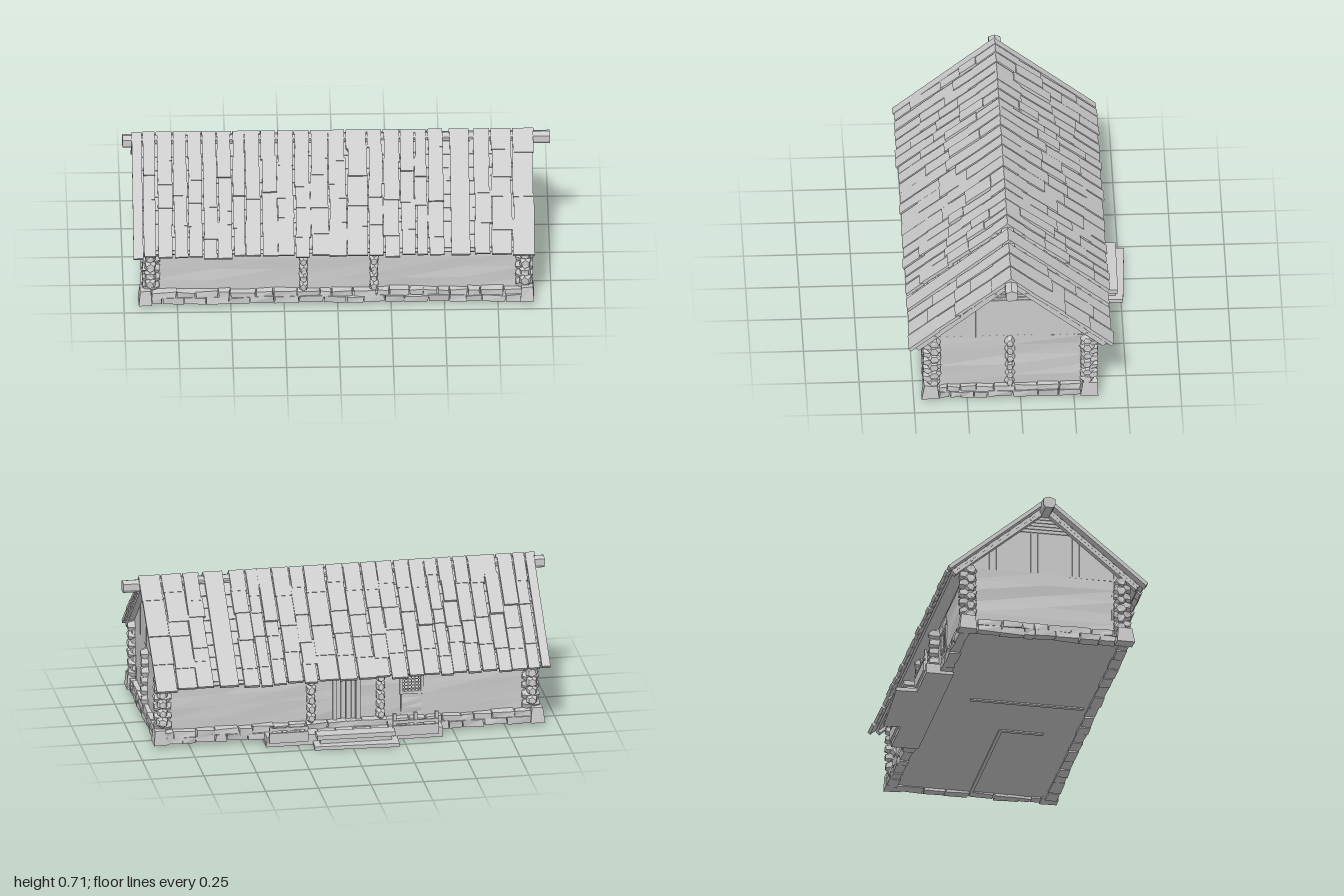
import * as THREE from 'three';

const mat = new THREE.MeshStandardMaterial({ color: 0xcccccc, flatShading: true });
const Z0 = 0.045;            // ridge line
const APEX = 0.715, RUN = 0.483, DROP = 0.403;
const SLOPE = Math.atan2(DROP, RUN), LEN = Math.hypot(RUN, DROP);
const FRONT = 0.408, BACK = -0.317, SIDE = 0.88;   // outer wall faces

let seed = 7;
const rnd = (a = 0, b = 1) => {
  seed = (seed * 16807) % 2147483647;
  return a + (b - a) * (seed / 2147483647);
};
const outline = pts => new THREE.Shape(pts.map(q => new THREE.Vector2(...q)));
const extrude = (pts, depth) => new THREE.ExtrudeGeometry(outline(pts), { depth, bevelEnabled: false });

function add(parent, name, geo, x = 0, y = 0, z = 0) {
  const m = new THREE.Mesh(geo, mat);
  m.name = name;
  m.position.set(x, y, z);
  parent.add(m);
  return m;
}

// box from its min and max corners
const block = (p, name, x0, x1, y0, y1, z0, z1) =>
  add(p, name, new THREE.BoxGeometry(x1 - x0, y1 - y0, z1 - z0), (x0 + x1) / 2, (y0 + y1) / 2, (z0 + z1) / 2);

// move every corner of a geometry by a position-keyed offset, so shared corners stay closed
function roughen(geo, amp, key = 0) {
  const p = geo.attributes.position;
  const h = (x, y, z, k) => {
    const s = Math.sin(x * 91.7 + y * 157.3 + z * 211.9 + k * 37.1 + key) * 4375.85;
    return (s - Math.floor(s) - 0.5) * 2 * amp;
  };
  for (let i = 0; i < p.count; i++) {
    const [x, y, z] = [p.getX(i), p.getY(i), p.getZ(i)].map(v => Math.round(v * 1e4) / 1e4 + 0);
    p.setXYZ(i, x + h(x, y, z, 1), y + h(x, y, z, 2), z + h(x, y, z, 3));
  }
  geo.computeVertexNormals();
  return geo;
}

// hewn wall with uneven faces
function wall(p, name, x0, x1, y0, y1, z0, z1) {
  const nx = Math.max(1, Math.round((x1 - x0) / 0.3)), nz = Math.max(1, Math.round((z1 - z0) / 0.3));
  const geo = new THREE.BoxGeometry(x1 - x0, y1 - y0, z1 - z0, nx, 5, nz);
  return add(p, name, roughen(geo, 0.004, x0 + z0), (x0 + x1) / 2, (y0 + y1) / 2, (z0 + z1) / 2);
}

// stacked log ends, pointing along x or z
function logColumn(p, x, z, axis, offset, count, width = 1) {
  const prof = [[0, -0.04], [0.018, -0.04], [0.028, -0.02], [0.028, 0.02], [0.018, 0.04], [0, 0.04]]
    .map(q => new THREE.Vector2(...q));
  for (let i = 0; i < count; i++) {
    const m = add(p, 'logEnd', roughen(new THREE.LatheGeometry(prof, 6), 0.003, i), x, 0.1 + offset + i * 0.046, z);
    const k = rnd(0.9, 1.08);
    if (axis === 'x') { m.rotation.z = Math.PI / 2; m.scale.set(k, 1, k * width); }
    else { m.rotation.x = Math.PI / 2; m.scale.set(k * width, 1, k); }
  }
}

function buildBase(g) {
  block(g, 'floor', -0.87, 0.87, 0.024, 0.07, -0.315, 0.405);
  block(g, 'floorJoist', 0.17, 0.86, 0.018, 0.026, 0.037, 0.053);
  block(g, 'floorJoist', -0.15, -0.13, 0.018, 0.026, -0.16, 0.38);
  block(g, 'floorJoist', 0.16, 0.18, 0.018, 0.026, 0.037, 0.25);
  // two rows of stones along each side
  const stones = (a, b, place) => {
    for (const [y, h, d] of [[0.031, 0.032, 0.05], [0.06, 0.03, 0.043]]) {
      for (let t = a; t < b - 0.01;) {
        const w = Math.min(rnd(0.05, 0.12), b - t);
        place(t + w / 2, w - 0.004, y + rnd(-0.002, 0.003), h, d + rnd(-0.006, 0.006));
        t += w;
      }
    }
  };
  const stone = (w, h, d) => roughen(new THREE.BoxGeometry(w, h, d), 0.004, rnd(0, 9));
  for (const z of [0.425, -0.335]) stones(-0.87, 0.87, (t, w, y, h, d) => add(g, 'foundationStone', stone(w, h, d), t, y, z));
  for (const x of [-0.89, 0.885]) stones(-0.28, 0.38, (t, w, y, h, d) => add(g, 'foundationStone', stone(d, h, w), x, y, t));
  for (const x of [-0.9, 0.887]) for (const z of [0.422, -0.325]) {
    const geo = new THREE.CylinderGeometry(0.036, 0.047, 0.072, 4);
    geo.rotateY(Math.PI / 4);
    add(g, 'cornerStone', roughen(geo, 0.003, x + z), x, 0.052, z).scale.z = 1.25;
  }
}

function buildWalls(g) {
  const y0 = 0.065, y1 = 0.35, t = 0.04;
  wall(g, 'frontWall', -SIDE, SIDE, y0, y1, FRONT - t, FRONT);
  wall(g, 'sideWall', SIDE - t, SIDE, y0, y1, BACK, FRONT);
  wall(g, 'sideWall', -SIDE, t - SIDE, y0, y1, BACK, FRONT);
  for (const x of [-0.16, 0.17]) wall(g, 'partition', x - 0.015, x + 0.015, y0, y1, BACK + t, FRONT - t);
  // back wall around the door and the window
  const backPart = (a, b, c, d) => wall(g, 'backWall', a, b, c, d, BACK, BACK + t);
  backPart(-SIDE, -0.36, y0, y1);
  backPart(-0.36, -0.26, y0, 0.19);
  backPart(-0.36, -0.26, 0.285, y1);
  backPart(-0.26, -0.05, y0, y1);
  backPart(-0.05, 0.05, 0.285, y1);
  backPart(0.05, SIDE, y0, y1);
  // door
  for (let i = 0; i < 4; i++) block(g, 'doorBoard', -0.05 + i * 0.025, -0.027 + i * 0.025, 0.07, 0.288, BACK + 0.015, BACK + 0.028);
  for (const x of [-0.055, 0.055]) block(g, 'doorPost', x - 0.01, x + 0.01, 0.07, 0.3, BACK - 0.012, BACK + 0.02);
  block(g, 'doorLintel', -0.065, 0.065, 0.282, 0.302, BACK - 0.014, BACK + 0.02);
  // window lattice
  for (const y of [0.19, 0.285]) block(g, 'windowFrame', -0.367, -0.253, y - 0.007, y + 0.007, BACK - 0.008, BACK + 0.02);
  for (const x of [-0.36, -0.26]) block(g, 'windowFrame', x - 0.007, x + 0.007, 0.19, 0.285, BACK - 0.008, BACK + 0.02);
  for (let i = 1; i < 6; i++) {
    const x = -0.36 + i / 60, y = 0.19 + i * 0.0158;
    block(g, 'windowBar', x - 0.002, x + 0.002, 0.19, 0.285, BACK, BACK + 0.006);
    block(g, 'windowBar', -0.36, -0.26, y - 0.002, y + 0.002, BACK, BACK + 0.006);
  }
  // log ends at corners and partitions
  for (const s of [-1, 1]) {
    for (const z of [0.405, -0.312]) logColumn(g, s * 0.873, z, 'x', 0, 6, 1.1);
    for (const z of [0.415, -0.322]) logColumn(g, s * 0.877, z, 'z', 0.023, 5);
  }
  logColumn(g, 0.872, 0.05, 'x', -0.005, 6, 0.8);
  for (const x of [-0.16, 0.17]) for (const z of [0.415, -0.322]) logColumn(g, x, z, 'z', 0, 6, 0.8);
}

function buildGables(g) {
  const rise = v => APEX - 0.045 - (DROP / RUN) * Math.abs(v);
  for (const s of [-1, 1]) {
    // solid gable behind the boards
    const tri = [[-0.37, 0.34], [0.37, 0.34], [0.37, rise(0.37)], [0, rise(0)], [-0.37, rise(0.37)]];
    add(g, 'gable', extrude(tri, 0.02), s * (SIDE - 0.014) - 0.01, 0, Z0).rotation.y = Math.PI / 2;
    // upright boards cut to the slope
    for (let u = -0.363; u < 0.35; u += 0.033) {
      const a = u + 0.001, b = u + 0.032;
      const top = v => Math.min(0.555, rise(v));
      add(g, 'gableBoard', extrude([[a, 0.342], [b, 0.342], [b, top(b)], [a, top(a)]], 0.01), s * (SIDE - 0.004) + 0.005, 0, Z0)
        .rotation.y = -Math.PI / 2;
    }
    // level slats near the peak
    for (let i = 0; i < 5; i++) {
      const y = 0.566 + i * 0.017, w = (0.672 - y) * 1.2, x = s * (SIDE - 0.004);
      block(g, 'gableSlat', x - 0.005, x + 0.005, y - 0.006, y + 0.006, Z0 - w, Z0 + w);
    }
  }
}

function buildRoof(g) {
  // left and right edge of each column of shingles
  const edges = [-0.957, -0.907, -0.845, -0.77, -0.7, -0.63, -0.56, -0.49, -0.43, -0.355, -0.28, -0.2, -0.125, -0.04,
    0.045, 0.145, 0.215, 0.295, 0.365, 0.425, 0.5, 0.525, 0.62, 0.64, 0.72, 0.82, 0.925];
  for (const s of [1, -1]) {
    const half = new THREE.Group(), plane = new THREE.Group();
    half.name = s > 0 ? 'frontRoof' : 'backRoof';
    half.position.set(0, APEX, Z0);
    half.rotation.y = s > 0 ? 0 : Math.PI;
    plane.rotation.x = SLOPE;
    half.add(plane);
    g.add(half);
    block(plane, 'roofDeck', -0.91, 0.91, -0.032, -0.02, 0.02, LEN - 0.03);
    for (let i = 0; i < 9; i++) block(plane, 'batten', -0.915, 0.915, -0.021, -0.014, 0.04 + i * 0.066, 0.055 + i * 0.066);
    for (const x of [-0.895, 0.895]) {
      block(plane, 'rafter', x - 0.014, x + 0.014, -0.046, -0.018, 0.025, LEN - 0.03);
      for (const d of [0.12, 0.49]) {
        const peg = add(plane, 'peg', new THREE.CylinderGeometry(0.005, 0.005, 0.036, 6), x, -0.034, d);
        peg.rotation.z = Math.PI / 2;
      }
    }
    for (let i = 0; i < edges.length - 1; i++) {
      const w = edges[i + 1] - edges[i], cx = (edges[i] + edges[i + 1]) / 2;
      if (w < 0.03) continue;                           // open gap between columns
      const long = i === 0 || i === 21;                 // full-length boards
      const rows = long ? 1 : 4 + Math.round(rnd());
      const end = LEN - rnd(0, 0.015);
      let d0 = 0;
      for (let r = 0; r < rows; r++) {
        const last = r === rows - 1;
        const d1 = last ? end : end * (r + 1) / rows + rnd(-0.04, 0.04);
        const up = r ? d0 - 0.015 : 0, h = long ? 0.018 : rnd(0.014, 0.018);
        // a few shingles above mid-slope ride up on their neighbours
        const lift = r && d1 < 0.36 && rnd() < 0.25 ? 0.007 : -0.001;
        const m = add(plane, 'shingle', new THREE.BoxGeometry(w - rnd(0.003, 0.011), h, d1 - up),
          s * (cx + rnd(-0.004, 0.004)), lift - h / 2, (up + d1) / 2);
        if (r) m.rotation.x = last ? -0.01 : -0.035;
        d0 = d1;
      }
    }
  }
  // ridge beam and wall plates
  const section = [[-0.018, 0.64], [0.018, 0.64], [0.028, 0.655], [0.028, 0.685], [0, 0.695], [-0.028, 0.685], [-0.028, 0.655]];
  add(g, 'ridgeBeam', extrude(section, 2), -1, 0, Z0).rotation.y = Math.PI / 2;
  for (const z of [FRONT - 0.025, BACK + 0.025]) block(g, 'wallPlate', -0.87, 0.87, 0.335, 0.37, z - 0.02, z + 0.02);
}

function buildPorch(g) {
  block(g, 'porchBase', -0.44, 0.4, 0, 0.015, -0.43, -0.3);
  for (let i = 0; i < 10; i++) block(g, 'porchBoard', -0.44 + i * 0.084, -0.36 + i * 0.084, 0.015, 0.045 + rnd(0, 0.006), -0.43, -0.345);
  // low boarded sides flanking the steps
  for (const [a, b, top] of [[-0.42, -0.2, 0.13], [0.2, 0.385, 0.1]]) {
    block(g, 'porchSkirt', a, b, 0.02, 0.07, -0.44, -0.43);
    block(g, 'rail', a, b, 0.08, 0.095, -0.438, -0.43);
    for (const x of [a + 0.01, (a + b) / 2, b - 0.01]) block(g, 'railPost', x - 0.008, x + 0.008, 0.03, top, -0.432, -0.42).rotation.x = -0.05;
  }
  // steps, slightly askew
  for (const [w, y0, y1, z0, z1, turn] of [[0.37, 0.04, 0.062, -0.488, -0.42, -0.01], [0.34, 0, 0.04, -0.475, -0.42, 0], [0.4, 0, 0.018, -0.52, -0.42, -0.05]])
    block(g, 'step', -0.02 - w / 2, -0.02 + w / 2, y0, y1, z0, z1).rotation.y = turn;
}

export function createModel() {
  seed = 7;
  const model = new THREE.Group();
  model.name = 'logHouse';
  for (const [name, build] of [['foundation', buildBase], ['walls', buildWalls], ['gables', buildGables], ['roof', buildRoof], ['porch', buildPorch]]) {
    const part = new THREE.Group();
    part.name = name;
    build(part);
    model.add(part);
  }
  return model;
}
